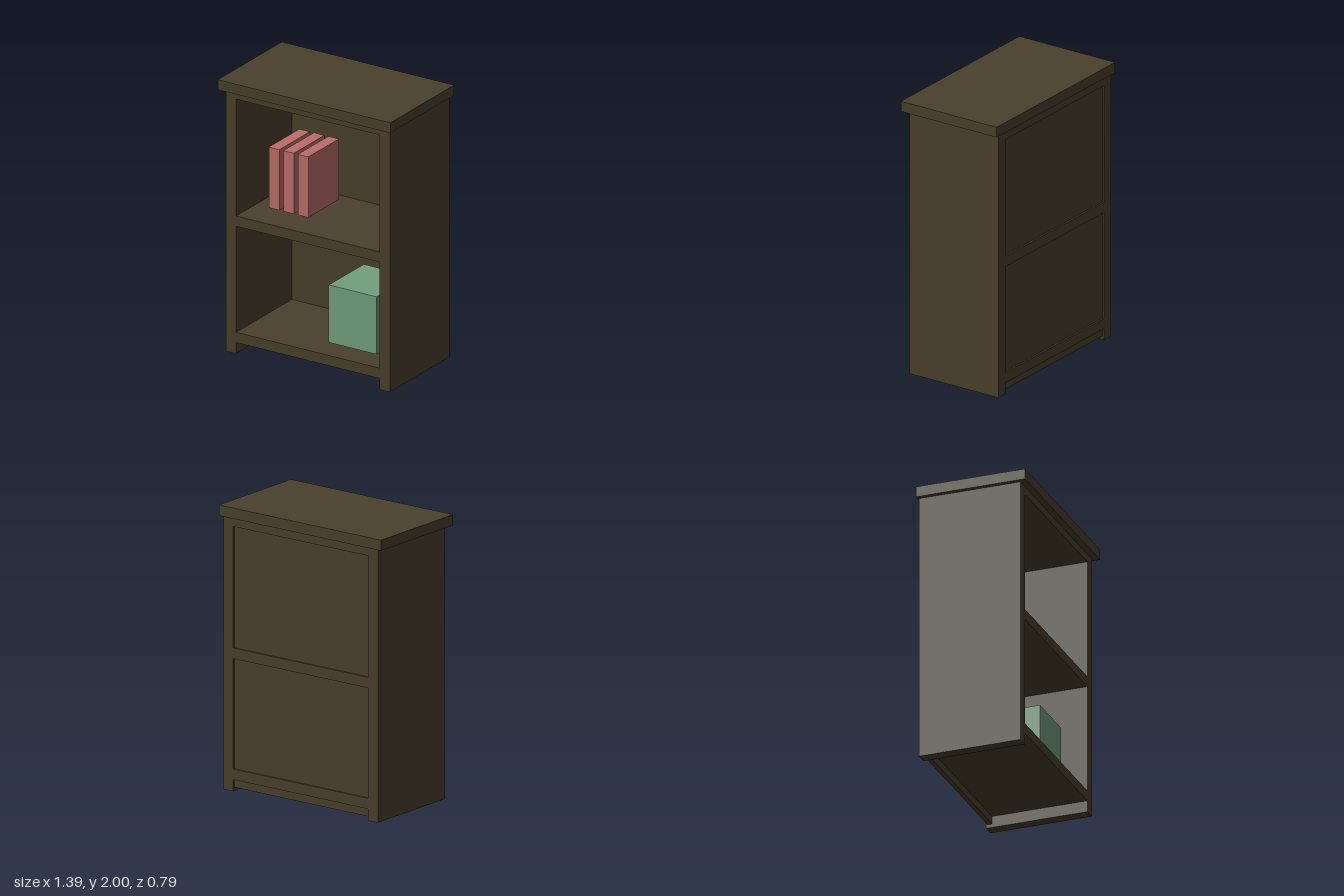
import * as THREE from 'three';

export function createModel() {
  const group = new THREE.Group();
  const material = (name, color) => {
    const m = new THREE.MeshStandardMaterial({ color });
    m.name = name;
    return m;
  };
  const wood = material('dark wood', 0x4a402b);
  const red = material('dusty red', 0xba6e69);
  const green = material('sage green', 0x729f7c);

  // Box given by its minimum and maximum along each axis
  const block = (name, mat, [x0, x1], [y0, y1], [z0, z1]) => {
    const mesh = new THREE.Mesh(new THREE.BoxGeometry(x1 - x0, y1 - y0, z1 - z0), mat);
    mesh.position.set((x0 + x1) / 2, (y0 + y1) / 2, (z0 + z1) / 2);
    mesh.name = name;
    group.add(mesh);
  };

  const depth = [-0.388, 0.35];
  const inner = [-0.58, 0.58];

  // Carcass: overhanging top, two sides, horizontal boards, recessed back
  block('top', wood, [-0.697, 0.697], [1.925, 2], [-0.397, 0.397]);
  block('rightSide', wood, [-0.663, -0.58], [0, 1.925], depth);
  block('leftSide', wood, [0.58, 0.663], [0, 1.925], depth);
  block('upperBoard', wood, inner, [1.867, 1.925], depth);
  block('middleShelf', wood, inner, [1.01, 0.935].reverse(), depth);
  block('bottomShelf', wood, inner, [0.082, 0.157], depth);
  block('backPanel', wood, inner, [0.025, 1.9], [-0.375, -0.342]);

  // Three upright books on the middle shelf
  for (let i = 0; i < 3; i++) {
    const x = -0.434 + i * 0.117;
    block('book', red, [x, x + 0.085], [1.04, 1.485], [-0.212, 0.167]);
  }

  // Storage box on the bottom shelf
  block('storageBox', green, [0.074, 0.46], [0.18, 0.602], [-0.232, 0.204]);

  return group;
}
